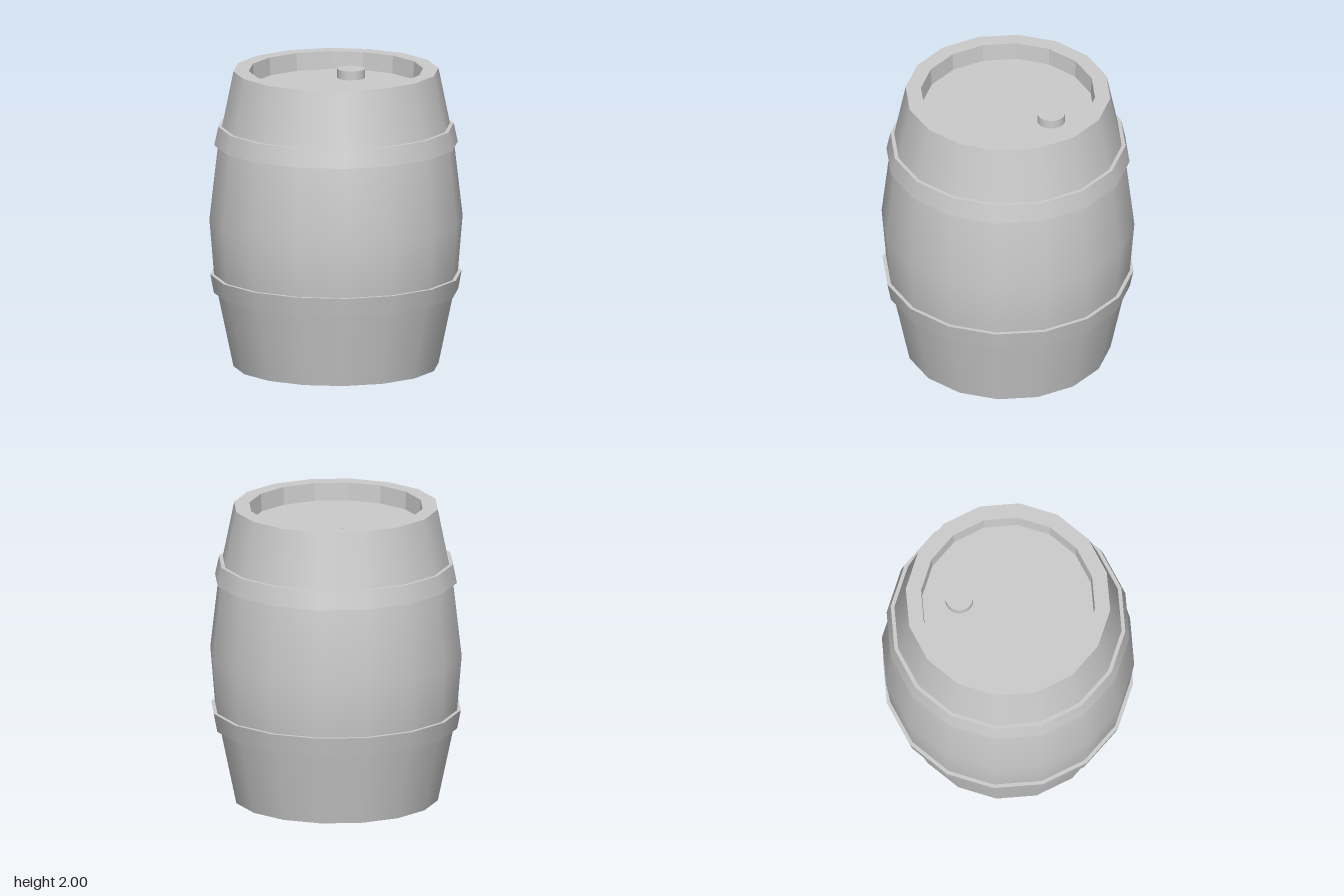
import * as THREE from 'three';

const SIDES = 16;

// Lathe one run of [radius, height] points; heights rising = faces outward
function ring(name, points, sides = SIDES, flatShading = false) {
  const geometry = new THREE.LatheGeometry(points.map(([r, y]) => new THREE.Vector2(r, y)), sides);
  const material = new THREE.MeshStandardMaterial({ color: 0xcccccc, flatShading });
  const mesh = new THREE.Mesh(geometry, material);
  mesh.name = name;
  return mesh;
}

// Rim, recessed wall, lid and bung of the top end (y = 2)
function barrelEnd(name) {
  const end = new THREE.Group();
  end.name = name;
  const bung = new THREE.Mesh(
    new THREE.CylinderGeometry(0.093, 0.093, 0.06, 16),
    new THREE.MeshStandardMaterial({ color: 0xcccccc })
  );
  bung.name = 'bung';
  bung.position.set(0, 1.91, -0.325);
  end.add(
    ring('rim', [[0.682, 2], [0.58, 2]], SIDES, true),
    ring('recessWall', [[0.58, 2], [0.573, 1.88]], SIDES, true),
    ring('lid', [[0.573, 1.88], [0, 1.88]], SIDES, true),
    bung
  );
  return end;
}

// Hoop with sloped outer face and thin ledges reaching into the staves
function hoop(name, y0, r0, y1, r1) {
  const group = new THREE.Group();
  group.name = name;
  const inset = 0.04;
  group.add(
    ring('hoopFace', [[r0, y0], [r1, y1]]),
    ring('hoopTop', [[r1, y1], [r1 - inset, y1]], SIDES, true),
    ring('hoopBottom', [[r0 - inset, y0], [r0, y0]], SIDES, true)
  );
  return group;
}

export function createModel() {
  const barrel = new THREE.Group();
  barrel.name = 'barrel';

  // Bulging body
  barrel.add(ring('staves', [
    [0.682, 0], [0.787, 0.5], [0.811, 0.625], [0.842, 1], [0.785, 1.5], [0.758, 1.625], [0.682, 2],
  ]));

  // Hoops
  barrel.add(hoop('lowerHoop', 0.5, 0.812, 0.625, 0.836));
  barrel.add(hoop('upperHoop', 1.5, 0.81, 1.625, 0.783));

  // Both ends; the lower one is turned over about x, keeping the bung at the back
  barrel.add(barrelEnd('topEnd'));
  const bottom = barrelEnd('bottomEnd');
  bottom.rotation.x = Math.PI;
  bottom.position.y = 2;
  bottom.getObjectByName('bung').position.z *= -1;
  barrel.add(bottom);

  return barrel;
}
